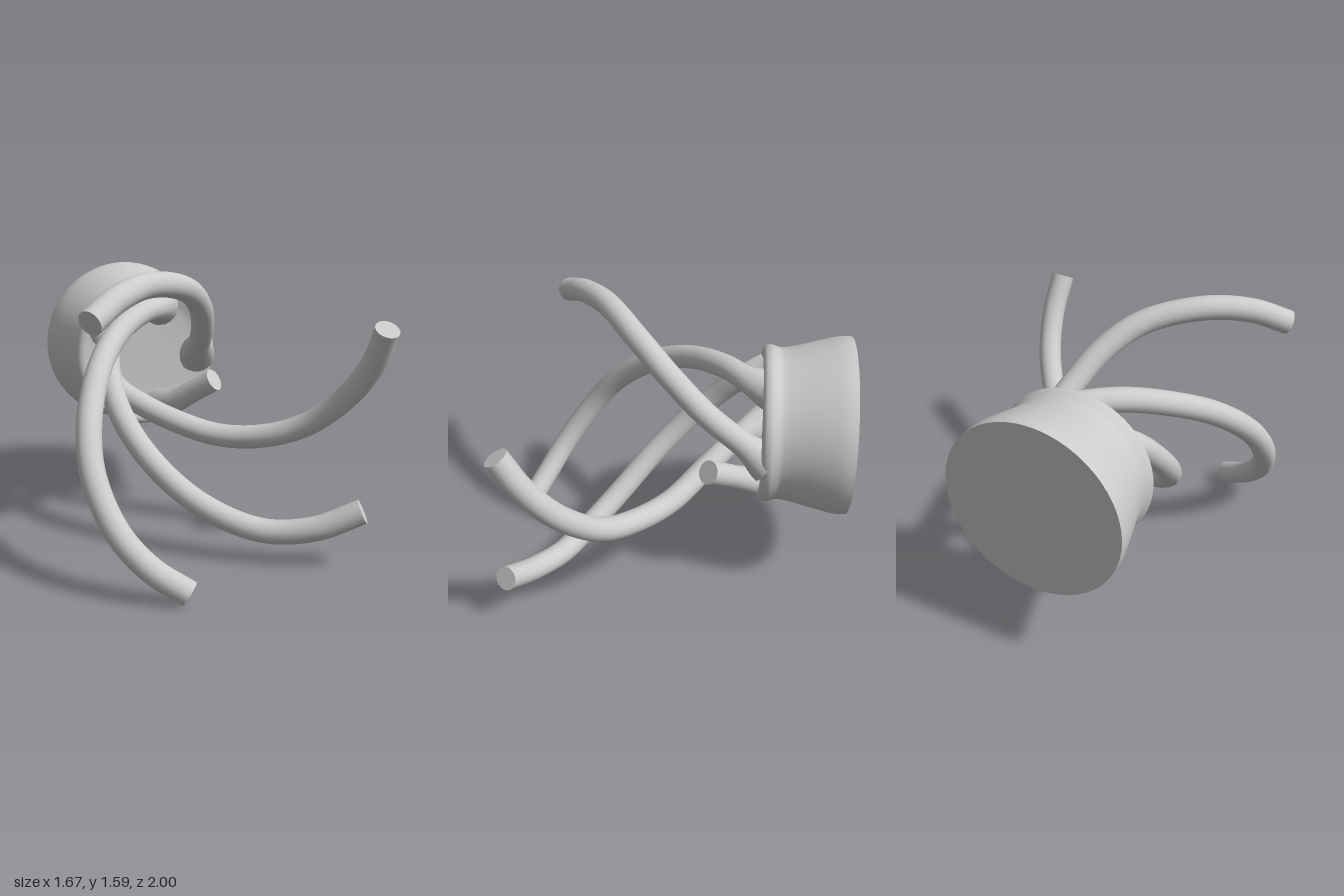
import * as THREE from 'three';

const material = new THREE.MeshStandardMaterial({ color: 0xcccccc });
const HUB = { x: -0.095, y: 0.965 };
const RADIUS = 0.068;

function part(name, geometry, parent) {
  const mesh = new THREE.Mesh(geometry, material);
  mesh.name = name;
  parent.add(mesh);
  return mesh;
}

// Curved arm: a tube that flares where it grows out of the hub, with a flat end
function createArm(name, points) {
  const arm = new THREE.Group();
  arm.name = name;
  const curve = new THREE.CatmullRomCurve3(points.map(p => new THREE.Vector3(...p)), false, 'centripetal');
  const length = curve.getLength();
  const rings = Math.max(16, Math.round(length * 36));
  const sides = 20;
  const geometry = new THREE.TubeGeometry(curve, rings, RADIUS, sides, false);
  const pos = geometry.attributes.position;
  const v = new THREE.Vector3();
  for (let i = 0; i <= rings; i++) {
    const centre = curve.getPointAt(i / rings);
    const flare = 1 + 0.75 * Math.exp(-(((i / rings) * length / 0.11) ** 2));
    for (let j = 0; j <= sides; j++) {
      const k = i * (sides + 1) + j;
      v.fromBufferAttribute(pos, k).sub(centre).multiplyScalar(flare).add(centre);
      pos.setXYZ(k, v.x, v.y, v.z);
    }
  }
  part(name + 'Tube', geometry, arm);

  const cap = part(name + 'End', new THREE.CircleGeometry(RADIUS, sides), arm);
  cap.position.copy(curve.getPointAt(1));
  cap.quaternion.setFromUnitVectors(new THREE.Vector3(0, 0, 1), curve.getTangentAt(1));
  return arm;
}

// Hub: flaring round body with a rolled rim and a shallow front face
function createHub() {
  const hub = new THREE.Group();
  hub.name = 'hub';
  hub.position.set(HUB.x, HUB.y, 0);
  const side = new THREE.SplineCurve([
    [0.505, -1], [0.503, -0.93], [0.478, -0.82], [0.447, -0.7], [0.432, -0.62],
    [0.438, -0.585], [0.448, -0.55], [0.438, -0.517], [0.41, -0.503],
    [0.37, -0.512], [0.31, -0.525], [0.15, -0.53], [0, -0.53],
  ].map(p => new THREE.Vector2(...p))).getPoints(60);
  side[side.length - 1].x = 0;
  part('hubBody', new THREE.LatheGeometry(side, 56).rotateX(Math.PI / 2), hub);
  const back = part('hubBack', new THREE.CircleGeometry(0.505, 56).rotateY(Math.PI), hub);
  back.position.z = -1;
  return hub;
}

export function createModel() {
  const model = new THREE.Group();
  model.name = 'spiralArmHub';
  model.add(createHub());

  // Arm centre lines, from the hub outwards
  const arms = {
    upperArm: [
      [0.24, 0.93, -0.55], [0.2, 1.03, -0.4], [0.14, 1.17, -0.2], [0.04, 1.34, 0],
      [-0.12, 1.47, 0.18], [-0.4, 1.535, 0.38], [-0.62, 1.5, 0.54], [-0.795, 1.415, 0.66],
    ],
    rightArm: [
      [0, 1.25, -0.56], [-0.07, 1.265, -0.43], [-0.22, 1.26, -0.29], [-0.42, 1.19, -0.1], [-0.6, 1.05, 0.13],
      [-0.73, 0.83, 0.37], [-0.765, 0.61, 0.54], [-0.7, 0.36, 0.72], [-0.57, 0.19, 0.84], [-0.4, 0.07, 0.94],
    ],
    lowerArm: [
      [-0.35, 1.15, -0.56], [-0.38, 1.09, -0.41], [-0.425, 0.92, -0.24], [-0.42, 0.75, -0.08], [-0.34, 0.55, 0.12],
      [-0.17, 0.35, 0.33], [0.03, 0.23, 0.51], [0.2, 0.19, 0.63], [0.4, 0.23, 0.77], [0.61, 0.34, 0.89],
    ],
    leftArm: [
      [-0.36, 0.79, -0.56], [-0.28, 0.75, -0.41], [-0.1, 0.65, -0.22], [0.15, 0.565, -0.01], [0.36, 0.585, 0.18],
      [0.55, 0.68, 0.35], [0.7, 0.88, 0.54], [0.76, 1.1, 0.7], [0.755, 1.3, 0.82],
    ],
    brokenArm: [
      [-0.02, 0.62, -0.56], [0.05, 0.67, -0.43], [0.14, 0.76, -0.32], [0.225, 0.84, -0.22],
    ],
  };
  for (const [name, points] of Object.entries(arms)) model.add(createArm(name, points));
  return model;
}
